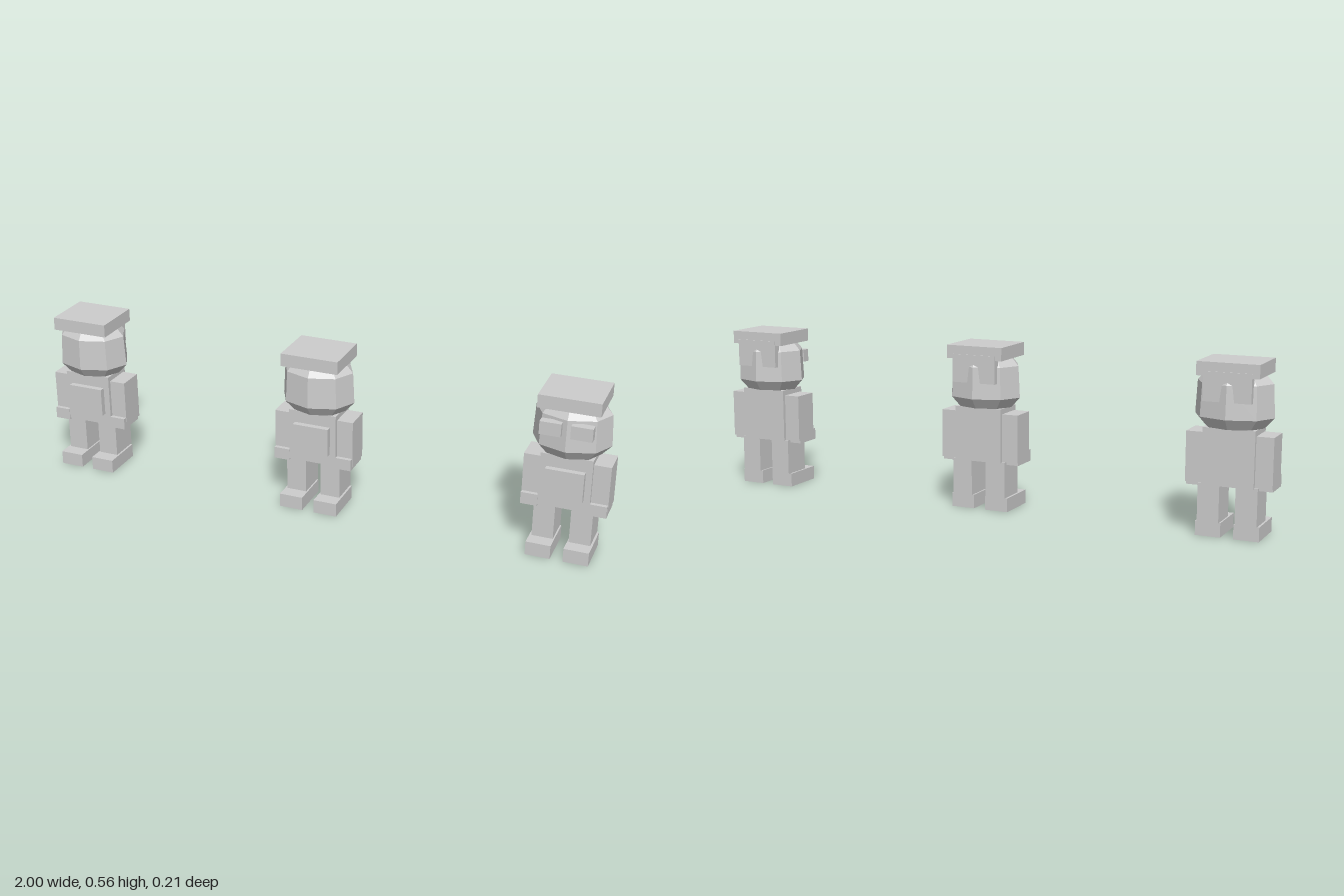
import * as THREE from 'three';

const grey = new THREE.MeshStandardMaterial({ color: 0xcccccc });
grey.name = 'plainGrey';
grey.flatShading = true;

// Box given by its extents along each axis
function box(parent, name, [x0, x1], [y0, y1], [z0, z1]) {
  const mesh = new THREE.Mesh(new THREE.BoxGeometry(x1 - x0, y1 - y0, z1 - z0), grey);
  mesh.position.set((x0 + x1) / 2, (y0 + y1) / 2, (z0 + z1) / 2);
  mesh.name = name;
  parent.add(mesh);
}

// Same box on both sides of the body
function pair(parent, name, [x0, x1], y, z) {
  box(parent, name + 'Left', [x0, x1], y, z);
  box(parent, name + 'Right', [-x1, -x0], y, z);
}

function createFigure(name, withGoggles) {
  const figure = new THREE.Group();
  figure.name = name;

  // Legs and feet
  pair(figure, 'foot', [0.021, 0.103], [0, 0.047], [-0.05, 0.097]);
  pair(figure, 'leg', [0.026, 0.096], [0.047, 0.17], [-0.057, 0.048]);

  // Torso with front pocket
  box(figure, 'torso', [-0.084, 0.084], [0.167, 0.35], [-0.062, 0.055]);
  box(figure, 'pocket', [-0.063, 0.063], [0.208, 0.307], [0.055, 0.075]);

  // Arms and hands
  pair(figure, 'arm', [0.084, 0.14], [0.17, 0.332], [-0.05, 0.043]);
  pair(figure, 'hand', [0.084, 0.139], [0.16, 0.2], [-0.041, 0.057]);

  // Eight-sided head, wider than deep
  const profile = [[0, 0.35], [0.75, 0.35], [1, 0.384], [0.955, 0.49], [0.78, 0.515], [0, 0.515]];
  const head = new THREE.Mesh(
    new THREE.LatheGeometry(profile.map(([r, y]) => new THREE.Vector2(r, y)), 8), grey);
  head.scale.set(0.127, 1, 0.101);
  head.position.z = -0.004;
  head.name = 'head';
  figure.add(head);

  // Flat cap of hair and the flap hanging behind
  box(figure, 'hairTop', [-0.1, 0.1], [0.515, 0.559], [-0.092, 0.084]);
  box(figure, 'hairBack', [-0.077, 0.077], [0.437, 0.53], [-0.095, -0.07]);

  // Goggles
  if (withGoggles) pair(figure, 'goggle', [0.015, 0.084], [0.437, 0.481], [0.077, 0.106]);
  return figure;
}

export function createModel() {
  const model = new THREE.Group();
  model.name = 'threeFigures';
  ['figureRight', 'figureMiddle', 'figureLeft'].forEach((name, i) => {
    const figure = createFigure(name, i === 2);
    figure.position.x = (i - 1) * 0.86;
    model.add(figure);
  });
  return model;
}
